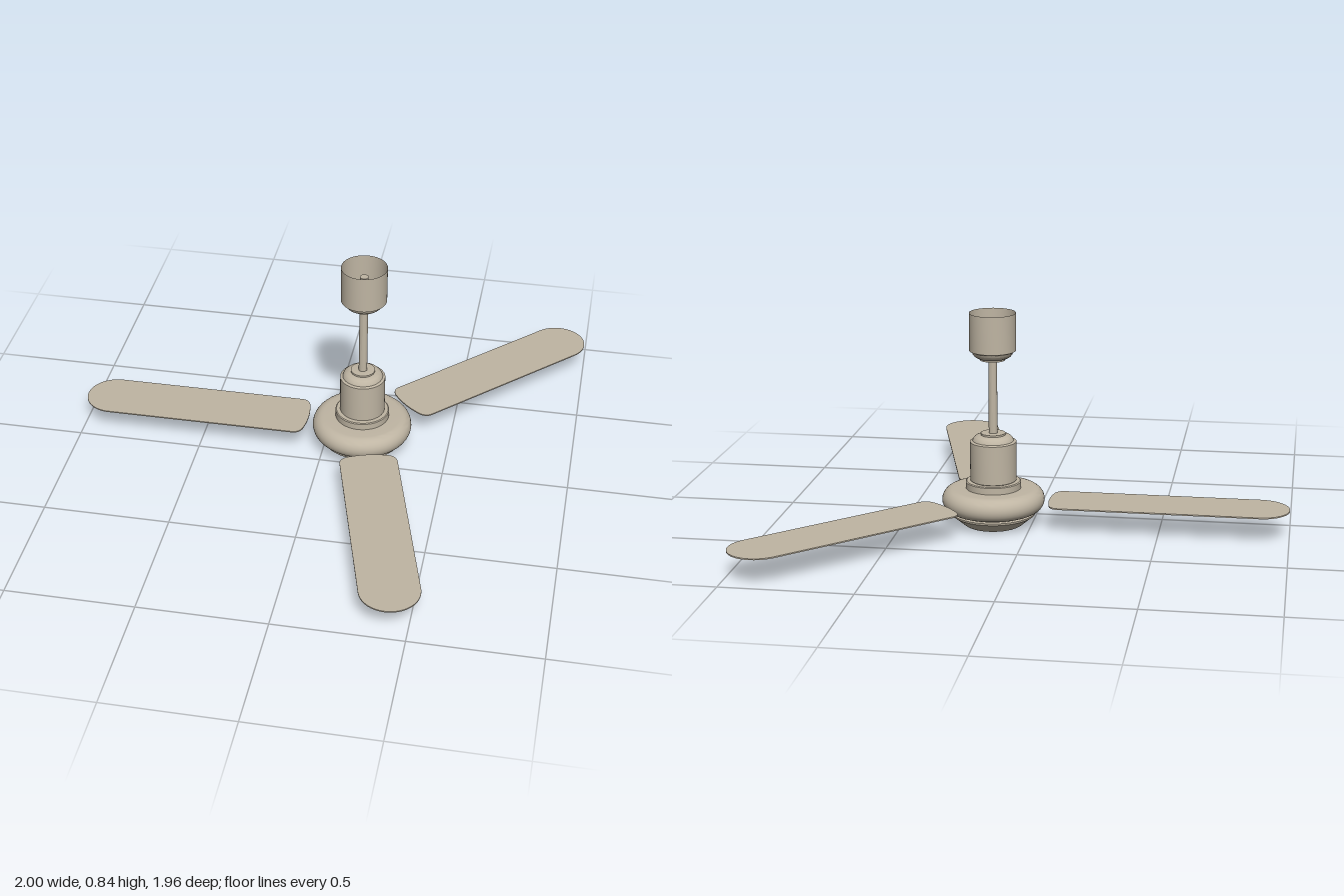
import * as THREE from 'three';
import { toCreasedNormals } from 'three/addons/utils/BufferGeometryUtils.js';

const material = new THREE.MeshStandardMaterial({ color: 0xbfb5a3, side: THREE.DoubleSide });

// Revolve a [radius, y] profile, listed from bottom to top
function turned(name, profile, segments = 48) {
  const points = profile.map(([r, y]) => new THREE.Vector2(r, y));
  const geometry = toCreasedNormals(new THREE.LatheGeometry(points, segments), 0.6);
  const mesh = new THREE.Mesh(geometry, material);
  mesh.name = name;
  return mesh;
}

// Flat blade running outward along +x, with a round tip and softened root corners
function bladeGeometry() {
  const root = 0.22, tip = 1.15, w = 0.115, c = 0.05, t = 0.005;
  const s = new THREE.Shape();
  s.moveTo(root + c, -w);
  s.lineTo(tip - w, -w);
  s.absarc(tip - w, 0, w, -Math.PI / 2, Math.PI / 2, false);
  s.lineTo(root + c, w);
  s.quadraticCurveTo(root + 0.012, w, root + 0.006, w - c);
  s.quadraticCurveTo(root - 0.006, 0, root + 0.006, c - w);
  s.quadraticCurveTo(root + 0.012, -w, root + c, -w);
  return new THREE.ExtrudeGeometry(s, { depth: t, bevelEnabled: false, curveSegments: 20 })
    .translate(0, 0, -t / 2)
    .rotateX(-Math.PI / 2);
}

export function createModel() {
  const fan = new THREE.Group();
  fan.name = 'ceilingFan';
  const hub = new THREE.Group();
  hub.name = 'hubAssembly';
  hub.position.set(0.15, 0, -0.14);
  fan.add(hub);

  // Motor: flared base, bulging rim and stepped top
  const rim = [];
  for (let i = 0; i <= 14; i++) {
    const a = -Math.PI / 2 + (Math.PI * i) / 14;
    rim.push([0.155 + 0.045 * Math.cos(a), 0.102 + 0.046 * Math.sin(a)]);
  }
  hub.add(turned('motorHousing', [
    [0, 0], [0.11, 0], [0.118, 0.005], [0.15, 0.032], [0.163, 0.042], [0.165, 0.05], [0.155, 0.053],
    ...rim, [0.108, 0.148], [0.108, 0.174], [0.104, 0.177], [0.085, 0.177],
  ]));

  // Lower canopy covering the rod joint
  hub.add(turned('lowerCanopy', [
    [0.085, 0.177], [0.09, 0.18], [0.09, 0.334], [0.08, 0.338], [0.077, 0.346],
    [0.068, 0.355], [0.055, 0.36], [0.048, 0.361], [0.048, 0.368], [0.015, 0.368],
  ]));

  // Rod reaching up into the open canopy
  hub.add(turned('downRod', [[0.017, 0.36], [0.017, 0.8], [0, 0.8]], 20));

  // Open cup that sits against the ceiling
  hub.add(turned('ceilingCanopy', [
    [0.015, 0.657], [0.048, 0.657], [0.048, 0.664], [0.058, 0.666], [0.07, 0.673],
    [0.077, 0.682], [0.08, 0.69], [0.09, 0.695], [0.09, 0.842],
  ]));

  // Three blades
  const geometry = bladeGeometry();
  [180, 45, -75].forEach((degrees, i) => {
    const blade = new THREE.Mesh(geometry, material);
    blade.name = `blade${i + 1}`;
    blade.position.y = 0.105;
    blade.rotation.y = THREE.MathUtils.degToRad(degrees);
    hub.add(blade);
  });

  return fan;
}
